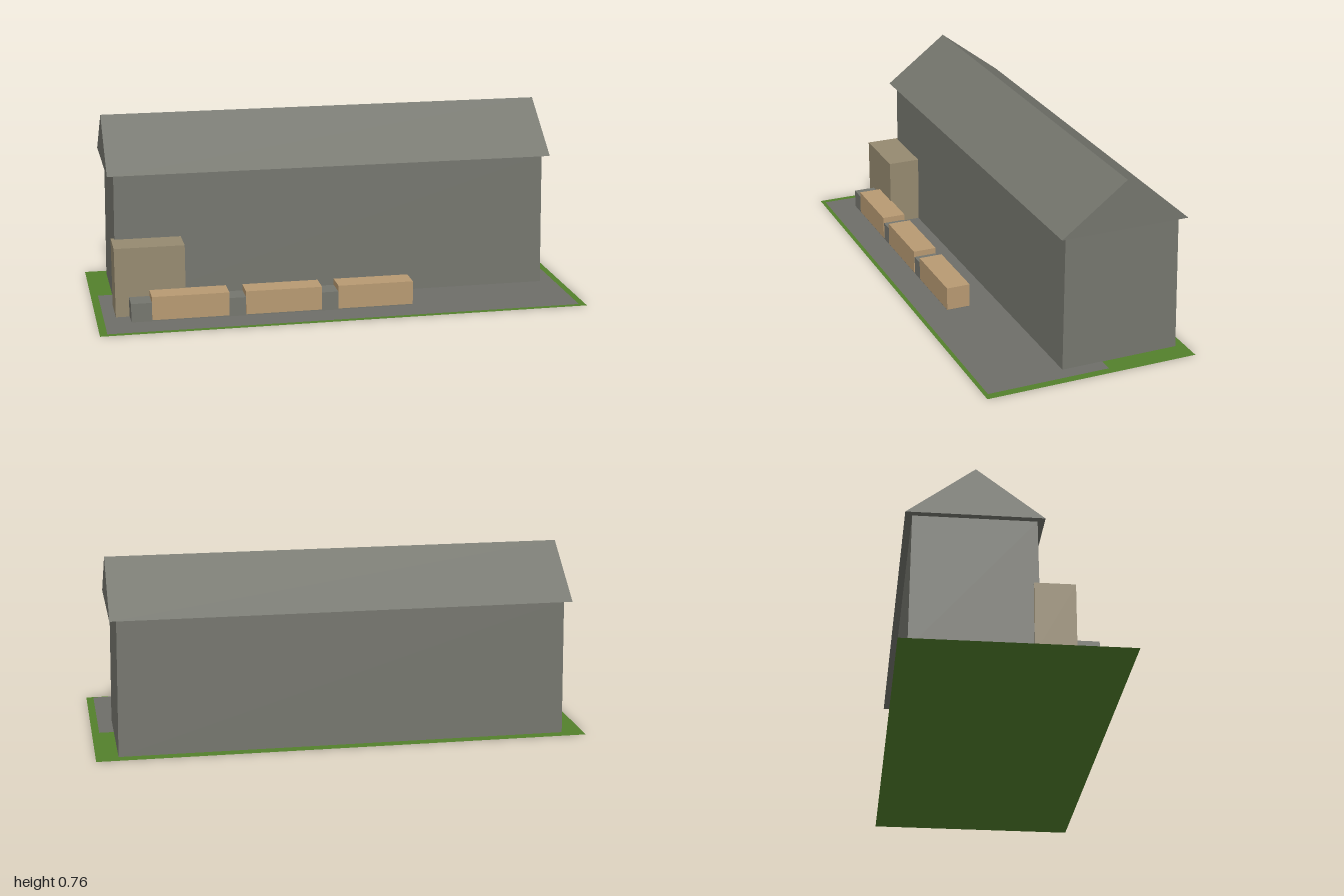
import * as THREE from 'three';

const material = (name, color, side = THREE.FrontSide) => {
  const m = new THREE.MeshStandardMaterial({ color, side });
  m.name = name;
  return m;
};

export function createModel() {
  const model = new THREE.Group();
  model.name = 'warehouseYard';
  const grey = material('warehouse grey', 0x75766e);
  const tan = material('annex tan', 0x968a70);
  const orange = material('trailer orange tan', 0xb89a72);
  const green = material('grass green', 0x53802c, THREE.DoubleSide);
  const paving = material('paving grey', 0x6e6e69, THREE.DoubleSide);

  const add = (name, geometry, mat, parent = model) => {
    const mesh = new THREE.Mesh(geometry, mat);
    mesh.name = name;
    parent.add(mesh);
    return mesh;
  };
  // Box given by its limits along each axis
  const box = (name, [x0, x1], [y0, y1], [z0, z1], mat, parent) => {
    const g = new THREE.BoxGeometry(x1 - x0, y1 - y0, z1 - z0);
    g.translate((x0 + x1) / 2, (y0 + y1) / 2, (z0 + z1) / 2);
    return add(name, g, mat, parent);
  };
  // Flat ground sheet
  const sheet = (name, width, z0, z1, y, mat) => {
    const g = new THREE.PlaneGeometry(width, z1 - z0);
    g.rotateX(-Math.PI / 2);
    g.translate(0, y, (z0 + z1) / 2);
    return add(name, g, mat);
  };

  // Ground
  sheet('grass', 2, -0.44, 0.44, 0, green);
  sheet('paving', 1.94, -0.08, 0.425, 0.003, paving);

  // Walls, leaning in slightly towards the eaves
  const walls = new THREE.BoxGeometry(1.82, 0.558, 0.49);
  const p = walls.attributes.position;
  for (let i = 0; i < p.count; i++) {
    if (p.getY(i) > 0) {
      p.setX(i, p.getX(i) * 0.992);
      p.setZ(i, p.getZ(i) * 0.971);
    }
  }
  walls.computeVertexNormals();
  walls.translate(0, 0.281, -0.155);
  add('walls', walls, grey);

  // Gable roof: a triangular prism along x
  const gable = new THREE.Shape([
    new THREE.Vector2(-0.265, 0),
    new THREE.Vector2(0.265, 0),
    new THREE.Vector2(0, 0.2),
  ]);
  const roof = new THREE.ExtrudeGeometry(gable, { depth: 1.86, bevelEnabled: false });
  roof.translate(0, 0, -0.93);
  roof.rotateY(Math.PI / 2);
  roof.translate(0, 0.56, -0.155);
  add('roof', roof, grey);

  // Small block against the front wall
  box('annex', [-0.92, -0.635], [0.002, 0.29], [0.065, 0.222], tan);

  // Row of three parked trucks, each a low cab and chassis with a load box
  for (let i = 0; i < 3; i++) {
    const truck = new THREE.Group();
    truck.name = 'truck' + (i + 1);
    truck.position.x = -0.865 + i * 0.38;
    model.add(truck);
    box('cab', [0, 0.39], [0.008, 0.085], [0.222, 0.314], grey, truck);
    box('loadBox', [0.083, 0.395], [0.013, 0.11], [0.218, 0.317], orange, truck);
  }
  return model;
}
